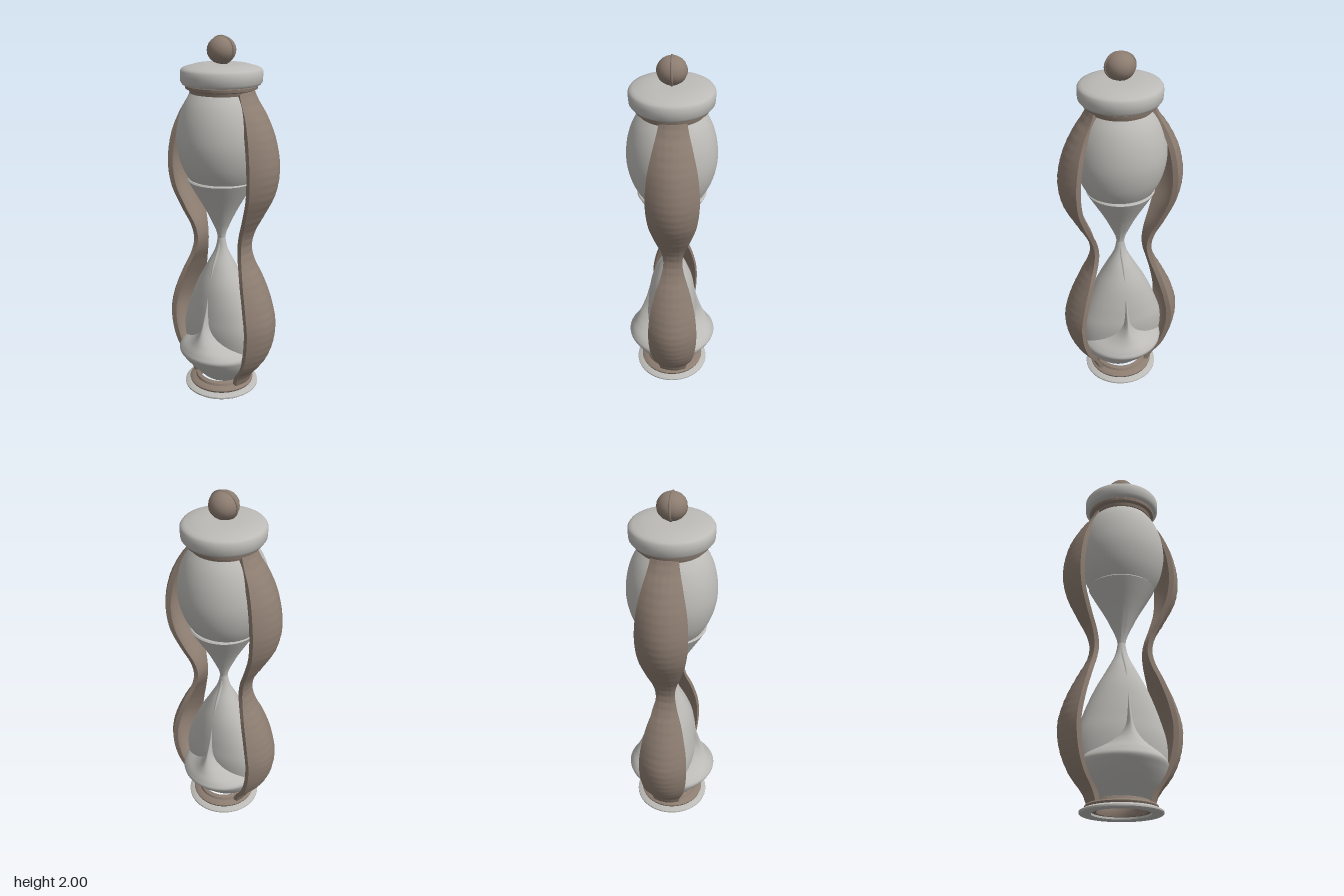
import * as THREE from 'three';
import { toCreasedNormals } from 'three/addons/utils/BufferGeometryUtils.js';

const frameBrown = new THREE.MeshStandardMaterial({ color: 0x8d7d71 });
frameBrown.name = 'frameBrown';
const paleGrey = new THREE.MeshStandardMaterial({ color: 0xbcbbb7 });
paleGrey.name = 'paleGrey';

function add(parent, name, geometry, material) {
  const mesh = new THREE.Mesh(geometry, material);
  mesh.name = name;
  parent.add(mesh);
  return mesh;
}

// Smooth curve through [y, a, b] stations, bottom to top
function stations(table, steps) {
  const curve = new THREE.CatmullRomCurve3(table.map(([y, a, b]) => new THREE.Vector3(a, y, b)));
  return curve.getPoints(steps);
}

// Skin closed rings of points, bottom ring first
function loft(rings) {
  const n = rings[0].length, index = [];
  for (let i = 0; i < rings.length - 1; i++) {
    for (let j = 0; j < n; j++) {
      const a = i * n + j, c = i * n + (j + 1) % n;
      index.push(a, a + n, c, a + n, c + n, c);
    }
  }
  const geometry = new THREE.BufferGeometry();
  geometry.setAttribute('position', new THREE.Float32BufferAttribute(rings.flat(2), 3));
  geometry.setIndex(index);
  geometry.computeVertexNormals();
  return geometry;
}

// Body with elliptical sections given as [y, half width in x, half width in z]
function ellipseBody(table, steps = 60, sides = 64) {
  return loft(stations(table, steps).map((p) =>
    Array.from({ length: sides }, (_, j) => {
      const t = (j / sides) * Math.PI * 2;
      return [p.x * Math.cos(t), p.y, p.z * Math.sin(t)];
    })));
}

function lathe(points) {
  const g = new THREE.LatheGeometry(points.map(([r, y]) => new THREE.Vector2(r, y)), 64);
  return toCreasedNormals(g, 0.7);
}

// Curved shell strap: [y, half width, outer z], with a faint scaly outer face
function strapGeometry() {
  const table = [
    [0.03, 0.075, 0.165], [0.1, 0.085, 0.195], [0.2, 0.112, 0.27], [0.31, 0.13, 0.317],
    [0.44, 0.137, 0.333], [0.56, 0.128, 0.305], [0.7, 0.098, 0.242], [0.8, 0.065, 0.19],
    [0.88, 0.052, 0.172], [0.96, 0.06, 0.188], [1.07, 0.092, 0.248], [1.2, 0.124, 0.314],
    [1.33, 0.136, 0.335], [1.48, 0.126, 0.308], [1.6, 0.1, 0.25], [1.68, 0.078, 0.195],
    [1.74, 0.065, 0.165]];
  const across = 16;
  const rings = stations(table, 160).map((p) => {
    const w = p.x, ring = [];
    const z = (s) => p.z - 3.5 * w * w * s * s;
    for (let j = 0; j <= across; j++) {
      const s = 1 - (2 * j) / across;
      const scale = 0.002 * Math.sin(p.y * 70 + s * w * 90) * Math.sin(p.y * 70 - s * w * 90);
      ring.push([w * s, p.y, z(s) + scale * (1 - s * s)]);
    }
    for (let j = 0; j <= across; j++) {
      const s = -1 + (2 * j) / across;
      ring.push([w * s * 0.94, p.y, z(s) - 0.026]);
    }
    return ring;
  });
  return toCreasedNormals(loft(rings), 0.7);
}

export function createModel() {
  const model = new THREE.Group();
  model.name = 'hourglass';

  // Open stepped base
  const base = new THREE.Group();
  base.name = 'base';
  model.add(base);
  add(base, 'baseFlange', lathe([
    [0.15, 0.004], [0.205, 0], [0.212, 0.006], [0.212, 0.014], [0.19, 0.026], [0.15, 0.028], [0.15, 0.004]]), paleGrey);
  add(base, 'baseRing', lathe([
    [0.125, 0.012], [0.165, 0.016], [0.182, 0.028], [0.185, 0.038], [0.178, 0.046],
    [0.15, 0.052], [0.145, 0.064], [0.125, 0.07], [0.115, 0.045], [0.125, 0.012]]), frameBrown);

  // Lower bulb, narrow from front to side
  add(model, 'lowerGlass', ellipseBody([
    [0.06, 0.09, 0.13], [0.15, 0.11, 0.195], [0.23, 0.122, 0.237], [0.31, 0.136, 0.247],
    [0.39, 0.143, 0.24], [0.47, 0.139, 0.215], [0.55, 0.132, 0.185], [0.65, 0.115, 0.14],
    [0.75, 0.08, 0.085], [0.85, 0.032, 0.035], [0.92, 0.02, 0.02]]), paleGrey);

  // Heap and falling stream
  add(model, 'sandHeapAndStream', ellipseBody([
    [0.05, 0.001, 0.001], [0.054, 0.09, 0.11], [0.09, 0.125, 0.15], [0.15, 0.18, 0.2],
    [0.21, 0.23, 0.23], [0.247, 0.254, 0.236], [0.275, 0.246, 0.212], [0.32, 0.222, 0.13],
    [0.36, 0.203, 0.075], [0.42, 0.178, 0.032], [0.5, 0.15, 0.021], [0.6, 0.125, 0.02],
    [0.75, 0.085, 0.02], [0.85, 0.037, 0.018], [0.92, 0.015, 0.015]], 120), paleGrey);

  // Upper bulb and the sand funnel below it
  add(model, 'upperGlass', ellipseBody([
    [1.17, 0.1, 0.11], [1.25, 0.165, 0.178], [1.34, 0.211, 0.222], [1.45, 0.234, 0.243],
    [1.56, 0.226, 0.232], [1.65, 0.198, 0.2], [1.71, 0.16, 0.16], [1.75, 0.12, 0.12]]), paleGrey);
  add(model, 'upperSand', lathe([
    [0.02, 0.86], [0.018, 0.9], [0.028, 0.95], [0.05, 1.0], [0.078, 1.06], [0.105, 1.11],
    [0.14, 1.17], [0.172, 1.225], [0.184, 1.247], [0.178, 1.254], [0, 1.254]]), paleGrey);
  const neck = add(model, 'neckRing', new THREE.TorusGeometry(0.017, 0.006, 8, 24), paleGrey);
  neck.rotation.x = Math.PI / 2;
  neck.position.y = 0.9;

  // Front and back straps
  const strap = strapGeometry();
  [['frontStrap', 0], ['backStrap', Math.PI]].forEach(([name, turn]) => {
    const mesh = add(model, name, strap, frameBrown);
    mesh.rotation.y = turn;
    mesh.position.x = 0.01;
  });

  // Cap with its collar
  add(model, 'capCollar', lathe([
    [0, 1.705], [0.13, 1.705], [0.165, 1.712], [0.17, 1.728], [0.187, 1.735], [0.19, 1.75], [0.18, 1.765], [0, 1.765]]), frameBrown);
  add(model, 'cap', lathe([
    [0, 1.752], [0.185, 1.752], [0.203, 1.757], [0.212, 1.77], [0.214, 1.8], [0.213, 1.825],
    [0.205, 1.836], [0.19, 1.842], [0.14, 1.856], [0.08, 1.858], [0, 1.858]]), paleGrey);

  // Ball finial with a thin raised band
  const finial = new THREE.Group();
  finial.name = 'finial';
  finial.position.y = 1.926;
  model.add(finial);
  const ball = add(finial, 'ball', new THREE.SphereGeometry(0.076, 16, 12), frameBrown);
  ball.scale.y = 0.92;
  const band = add(finial, 'ballBand', new THREE.TorusGeometry(0.075, 0.007, 8, 40), frameBrown);
  band.rotation.y = Math.PI / 2;
  band.scale.y = 0.9;

  return model;
}
